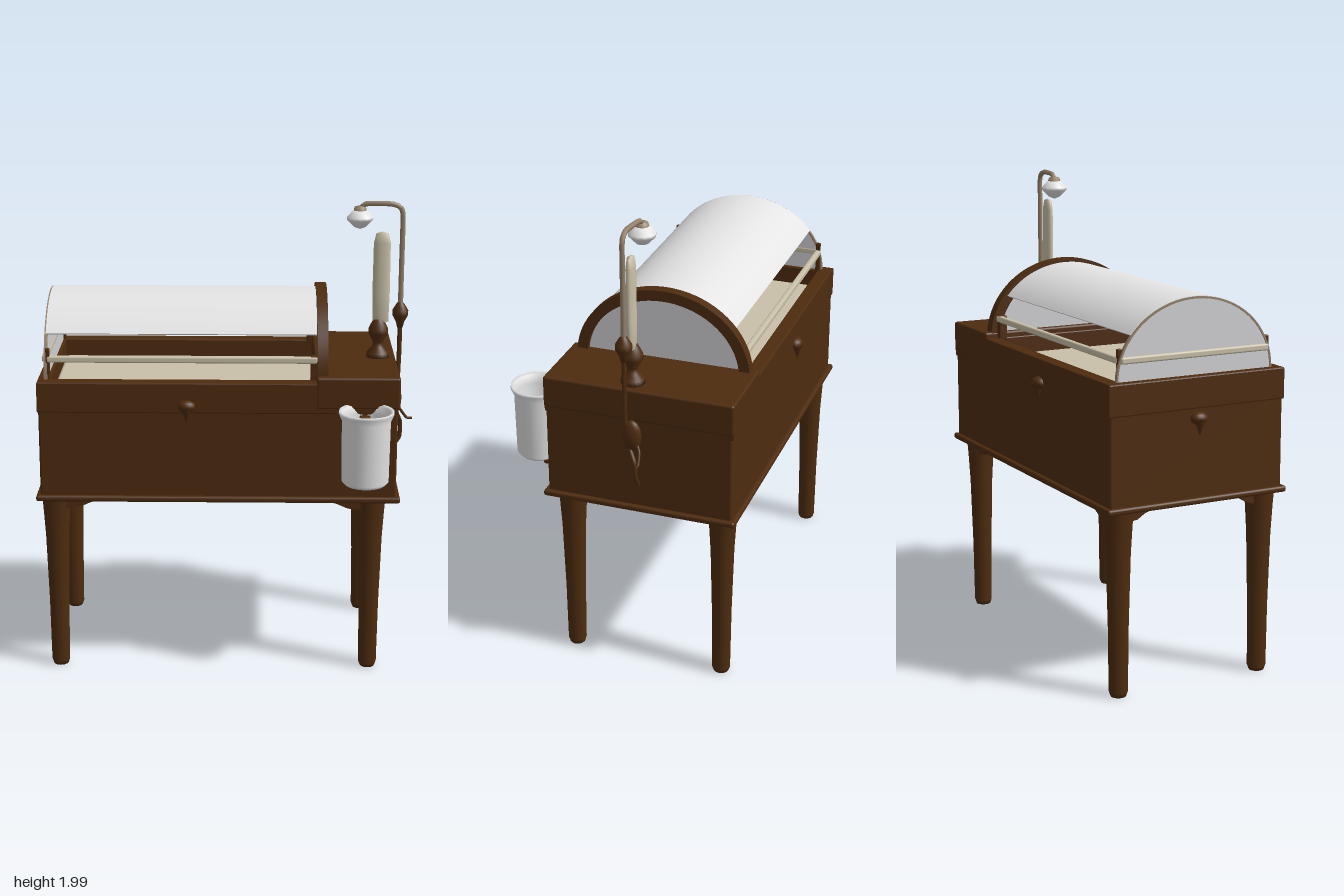
import * as THREE from 'three';
import { toCreasedNormals } from 'three/addons/utils/BufferGeometryUtils.js';
import { RoundedBoxGeometry } from 'three/addons/geometries/RoundedBoxGeometry.js';

const mat = (name, color, side = THREE.FrontSide) => {
  const m = new THREE.MeshStandardMaterial({ color, side });
  m.name = name;
  return m;
};

export function createModel() {
  const wood = mat('dark wood', 0x4e2c0f);
  const white = mat('white enamel', 0xe4e4e4, THREE.DoubleSide);
  const pane = mat('pale grey pane', 0xd2d2d5, THREE.DoubleSide);
  const cream = mat('cream', 0xc9c0a8);
  const tan = mat('tan metal', 0x94806a);

  const model = new THREE.Group();
  model.name = 'crib';
  // The whole piece stands slightly turned
  const root = new THREE.Group();
  root.name = 'body';
  root.rotation.y = 0.038;
  root.position.set(-0.03, 0, -0.0625);
  model.add(root);

  const add = (name, geo, m, x = 0, y = 0, z = 0) => {
    const mesh = new THREE.Mesh(geo, m);
    mesh.name = name;
    mesh.position.set(x, y, z);
    root.add(mesh);
    return mesh;
  };
  const box = (name, m, x0, x1, y0, y1, z0, z1, r = 0.01) =>
    add(name, new RoundedBoxGeometry(x1 - x0, y1 - y0, z1 - z0, 2, r), m,
      (x0 + x1) / 2, (y0 + y1) / 2, (z0 + z1) / 2);
  const lathe = (name, m, pts, x, y, z, n = 20) =>
    add(name, new THREE.LatheGeometry(pts.map(p => new THREE.Vector2(...p)), n), m, x, y, z);
  const tube = (name, m, pts, r) => add(name, new THREE.TubeGeometry(
    new THREE.CatmullRomCurve3(pts.map(p => new THREE.Vector3(...p)), false, 'catmullrom', 0.3), 32, r, 8), m);
  // Elliptical band standing across x; inner radius 0 gives a filled panel
  const band = (name, m, rx, ry, t, a0, a1, x, len) => {
    const s = new THREE.Shape();
    const n = 36;
    for (let i = 0; i <= n; i++) {
      const a = a0 + (a1 - a0) * i / n;
      s.lineTo(rx * Math.cos(a), ry * Math.sin(a));
    }
    if (t > 0) for (let i = n; i >= 0; i--) {
      const a = a0 + (a1 - a0) * i / n;
      s.lineTo((rx - t) * Math.cos(a), (ry - t) * Math.sin(a));
    }
    const pts = s.getPoints().slice(1); // drop the implicit origin start
    const g = new THREE.ExtrudeGeometry(new THREE.Shape(pts), { depth: len, bevelEnabled: false });
    g.rotateY(Math.PI / 2);
    return add(name, toCreasedNormals(g, 0.6), m, x, 1.3, 0);
  };

  // Cabinet: solid lower box, base moulding, raised rim, deck
  box('cabinet', wood, -0.75, 0.75, 0.785, 1.2, -0.395, 0.395);
  box('baseMoulding', wood, -0.768, 0.768, 0.78, 0.806, -0.412, 0.412);
  const rect = (x0, x1, z) => [[x0, -z], [x1, -z], [x1, z], [x0, z]].map(p => new THREE.Vector2(...p));
  const rimShape = new THREE.Shape(rect(-0.752, 0.748, 0.397));
  rimShape.holes.push(new THREE.Path(rect(-0.705, 0.41, 0.338)));
  const rim = new THREE.ExtrudeGeometry(rimShape, {
    depth: 0.12, bevelThickness: 0.006, bevelSize: 0.006, bevelOffset: -0.004, bevelSegments: 2 });
  rim.rotateX(-Math.PI / 2);
  add('rim', rim, wood, 0, 1.174, 0);
  box('deck', wood, 0.41, 0.758, 1.19, 1.325, -0.402, 0.402);
  box('mattress', cream, -0.704, 0.41, 1.18, 1.225, -0.337, 0.337, 0.015);

  // Legs with corner brackets
  for (const sx of [-1, 1]) for (const sz of [-1, 1]) {
    const lx = sx * 0.67 - 0.02, lz = sz * 0.328;
    lathe('leg', wood, [[0, 0.005], [0.032, 0.005], [0.039, 0.025], [0.042, 0.3], [0.05, 0.6],
      [0.057, 0.72], [0.062, 0.785]], lx, 0, lz, 12);
    for (const along of ['x', 'z']) {
      const L = along === 'x' ? 0.25 : 0.17;
      const s = new THREE.Shape([[0, 0], [L, 0], [L * 0.6, -0.022], [L * 0.4, -0.044], [0, -0.055]]
        .map(p => new THREE.Vector2(...p)));
      const g = new THREE.ExtrudeGeometry(s, { depth: 0.07, bevelEnabled: false });
      g.translate(0, 0, -0.035);
      const b = add('legBracket', g, wood, lx, 0.785, lz);
      b.rotation.y = along === 'x' ? (sx > 0 ? Math.PI : 0) : sz * Math.PI / 2;
    }
  }

  // Arch, curved cover, end panes
  band('arch', wood, 0.372, 0.33, 0.045, 0, Math.PI, 0.412, 0.046);
  band('archPane', pane, 0.335, 0.295, 0, 0, Math.PI, 0.43, 0.008);
  band('endPane', pane, 0.35, 0.308, 0, 0, Math.PI, -0.722, 0.008);
  band('endTrim', tan, 0.354, 0.312, 0.008, 0, Math.PI, -0.726, 0.014);
  band('cover', white, 0.358, 0.314, 0.01, 0.62, Math.PI - 0.62, -0.72, 1.135);

  // Rails and small corner posts
  for (const s of [-1, 1]) {
    box('sideRail', cream, -0.715, 0.415, 1.37, 1.398, s * 0.335 - 0.012, s * 0.335 + 0.012, 0.008);
    box('cornerPost', wood, -0.718, -0.702, 1.29, 1.43, s * 0.335 - 0.01, s * 0.335 + 0.01, 0.004);
    box('archPost', wood, 0.385, 0.415, 1.29, 1.4, s * 0.325 - 0.018, s * 0.325 + 0.018, 0.005);
  }
  box('endRail', cream, -0.735, -0.712, 1.37, 1.398, -0.335, 0.335, 0.008);

  // Drop knobs on the front, back and end
  const knob = (x, y, z, turn) => {
    const g = new THREE.Group();
    g.name = 'knob';
    const top = new THREE.Mesh(new THREE.SphereGeometry(0.038, 16, 10), wood);
    top.scale.set(1, 0.7, 0.8);
    const drop = new THREE.Mesh(new THREE.ConeGeometry(0.026, 0.07, 12), wood);
    drop.rotation.x = Math.PI;
    drop.position.set(0, -0.035, 0.008);
    g.add(top, drop);
    g.position.set(x, y, z);
    g.rotation.y = turn;
    root.add(g);
  };
  knob(-0.13, 1.2, 0.398, 0);
  knob(-0.13, 1.2, -0.4, Math.PI);
  knob(-0.755, 1.13, 0, -Math.PI / 2);

  // Hanging cup with brackets
  lathe('cup', white, [[0, 0.895], [0.085, 0.895], [0.098, 0.91], [0.101, 1.17], [0.115, 1.2], [0.113, 1.212],
    [0.1, 1.205], [0.09, 1.17], [0.088, 0.92], [0, 0.915]], 0.613, 0, 0.484, 28);
  box('cupHook', wood, 0.59, 0.635, 1.14, 1.165, 0.38, 0.43, 0.006);
  box('cupBracket', wood, 0.53, 0.69, 0.885, 0.905, 0.38, 0.44, 0.006);

  // Flat upright on a turned holder
  lathe('holder', wood, [[0, 1.32], [0.05, 1.325], [0.048, 1.345], [0.024, 1.37], [0.022, 1.39],
    [0.042, 1.43], [0.042, 1.45], [0.022, 1.49], [0, 1.5]], 0.682, 0, 0.043);
  const slat = lathe('upright', cream, [[0, 1.47], [0.034, 1.48], [0.037, 1.6], [0.036, 1.82],
    [0.026, 1.862], [0, 1.87]], 0.69, 0, 0.043, 16);
  slat.scale.z = 0.5;

  // Lamp post with curved arm
  const px = 0.774, pz = 0.045;
  tube('lampArm', tan, [[px, 1.53, pz], [px, 1.75, pz], [px, 1.94, pz], [px - 0.012, 1.975, pz],
    [px - 0.05, 1.988, pz], [0.64, 1.988, 0.035], [0.605, 1.982, 0.03], [0.594, 1.955, 0.03]], 0.011);
  lathe('postSwell', wood, [[0, 1.45], [0.012, 1.455], [0.018, 1.48], [0.034, 1.51], [0.034, 1.53],
    [0.016, 1.56], [0, 1.575]], px, 0, pz);
  tube('postRod', wood, [[px, 1.47, pz], [px, 1.35, pz], [px - 0.004, 1.18, pz]], 0.01);
  lathe('lampCap', tan, [[0.03, 1.95], [0.024, 1.972], [0, 1.98]], 0.594, 0, 0.03);
  lathe('lamp', white, [[0, 1.878], [0.026, 1.888], [0.055, 1.918], [0.055, 1.93], [0.03, 1.958], [0, 1.96]],
    0.594, 0, 0.03, 12);

  // Wall hook and its curled tails
  const hook = add('hookBody', new THREE.SphereGeometry(0.045, 16, 12), wood, 0.765, 1.13, 0.02);
  hook.scale.set(0.6, 1.5, 0.9);
  tube('hookTail', wood, [[0.77, 1.16, 0.04], [0.768, 1.08, 0.03], [0.79, 1.02, 0.0],
    [0.79, 0.95, -0.005], [0.765, 0.91, -0.005]], 0.009);
  tube('hookTip', wood, [[0.765, 1.1, 0.0], [0.79, 1.07, -0.02], [0.82, 1.03, -0.025], [0.845, 1.028, -0.025]], 0.006);

  return model;
}
